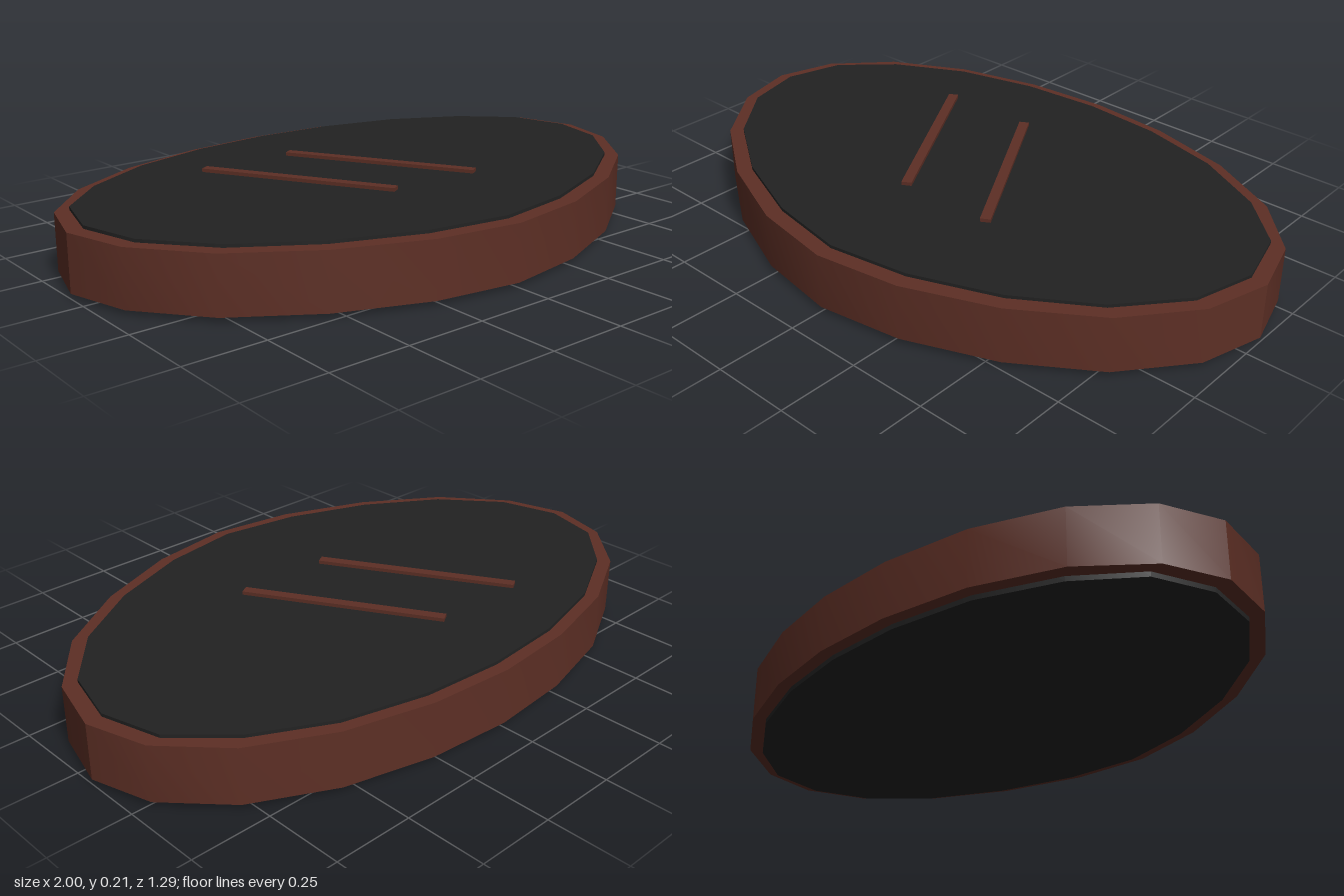
import * as THREE from 'three';
import { toCreasedNormals } from 'three/addons/utils/BufferGeometryUtils.js';

// Right half of each outline as [x, z], from back to front
const RIM = [[0, -0.647], [0.27, -0.625], [0.545, -0.555], [0.785, -0.43], [0.945, -0.26], [1, -0.07],
  [0.945, 0.13], [0.785, 0.33], [0.545, 0.49], [0.27, 0.6], [0, 0.642]];
const CORE = [[0, -0.607], [0.26, -0.587], [0.52, -0.522], [0.747, -0.403], [0.9, -0.255], [0.95, -0.07],
  [0.9, 0.12], [0.747, 0.303], [0.52, 0.45], [0.257, 0.551], [0, 0.592]];

// Mirror a half outline into a closed list of points
function fullOutline(half) {
  const mirrored = half.slice(1, -1).reverse().map(([x, z]) => [-x, z]);
  return [...half, ...mirrored].map(([x, z]) => new THREE.Vector2(x, -z));
}

// Upright slab between two heights, optionally with a hole
function slab(half, bottom, top, holeHalf) {
  const shape = new THREE.Shape(fullOutline(half));
  if (holeHalf) shape.holes.push(new THREE.Path(fullOutline(holeHalf)));
  const geometry = new THREE.ExtrudeGeometry(shape, { depth: top - bottom, bevelEnabled: false });
  geometry.rotateX(-Math.PI / 2).translate(0, bottom, 0);
  return toCreasedNormals(geometry, Math.PI / 6);
}

export function createModel() {
  const group = new THREE.Group();
  const brown = new THREE.MeshStandardMaterial({ color: 0x5d2f25 });
  brown.name = 'dark brown';
  const black = new THREE.MeshStandardMaterial({ color: 0x222222 });
  black.name = 'charcoal';

  const add = (name, geometry, material) => {
    const mesh = new THREE.Mesh(geometry, material);
    mesh.name = name;
    group.add(mesh);
    return mesh;
  };

  // Brown band around a slightly thicker dark panel
  add('rim', slab(RIM, 0.015, 0.19, CORE), brown);
  add('panel', slab(CORE, 0, 0.2), black);

  // Two slanted strips on the top face
  [-0.24, 0.08].forEach((x, i) => {
    const strip = add(i ? 'leftStrip' : 'rightStrip', new THREE.BoxGeometry(0.032, 0.014, 0.635), brown);
    strip.position.set(x, 0.204, -0.065);
    strip.rotation.y = Math.PI / 6;
  });
  return group;
}
